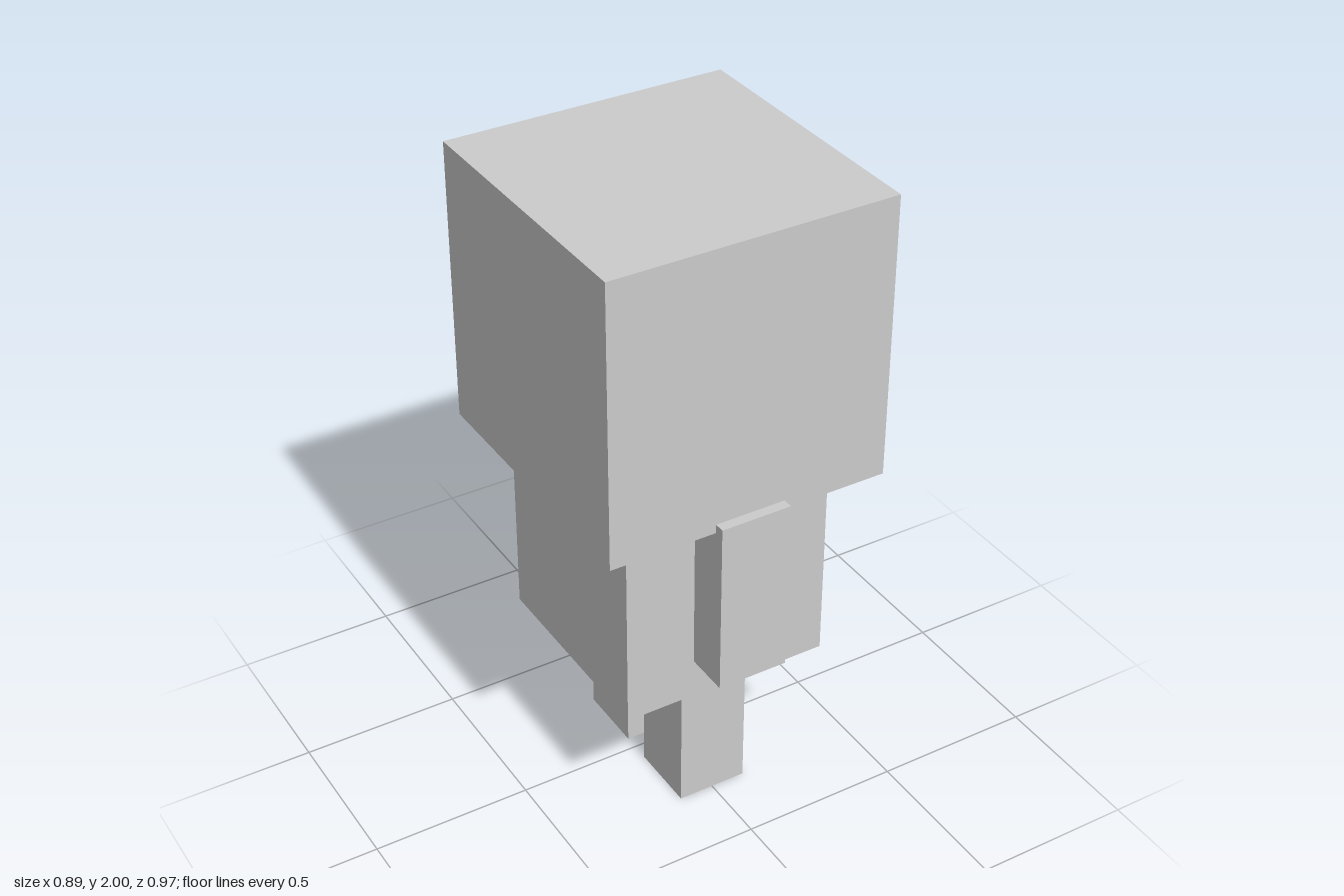
import * as THREE from 'three';

export function createModel() {
  const model = new THREE.Group();
  const material = new THREE.MeshStandardMaterial({ color: 0xcccccc, flatShading: true });

  // Box given by its width, its bottom and top, and its back and front
  function addBox(name, width, y0, y1, z0, z1) {
    const mesh = new THREE.Mesh(new THREE.BoxGeometry(width, y1 - y0, z1 - z0), material);
    mesh.position.set(0, (y0 + y1) / 2, (z0 + z1) / 2);
    mesh.name = name;
    model.add(mesh);
  }

  addBox('head', 0.888, 1.115, 2, -0.435, 0.453);
  addBox('body', 0.664, 0.46, 1.12, -0.32, 0.344);

  // Arms sit partly inside the body, their tops reaching into the head
  addBox('frontArm', 0.222, 0.588, 1.143, 0.263, 0.485);
  addBox('backArm', 0.222, 0.588, 1.143, -0.485, -0.263);

  // Legs, side by side along z
  addBox('frontLeg', 0.222, 0, 0.465, 0.055, 0.277);
  addBox('backLeg', 0.222, 0, 0.465, -0.265, -0.043);

  return model;
}
